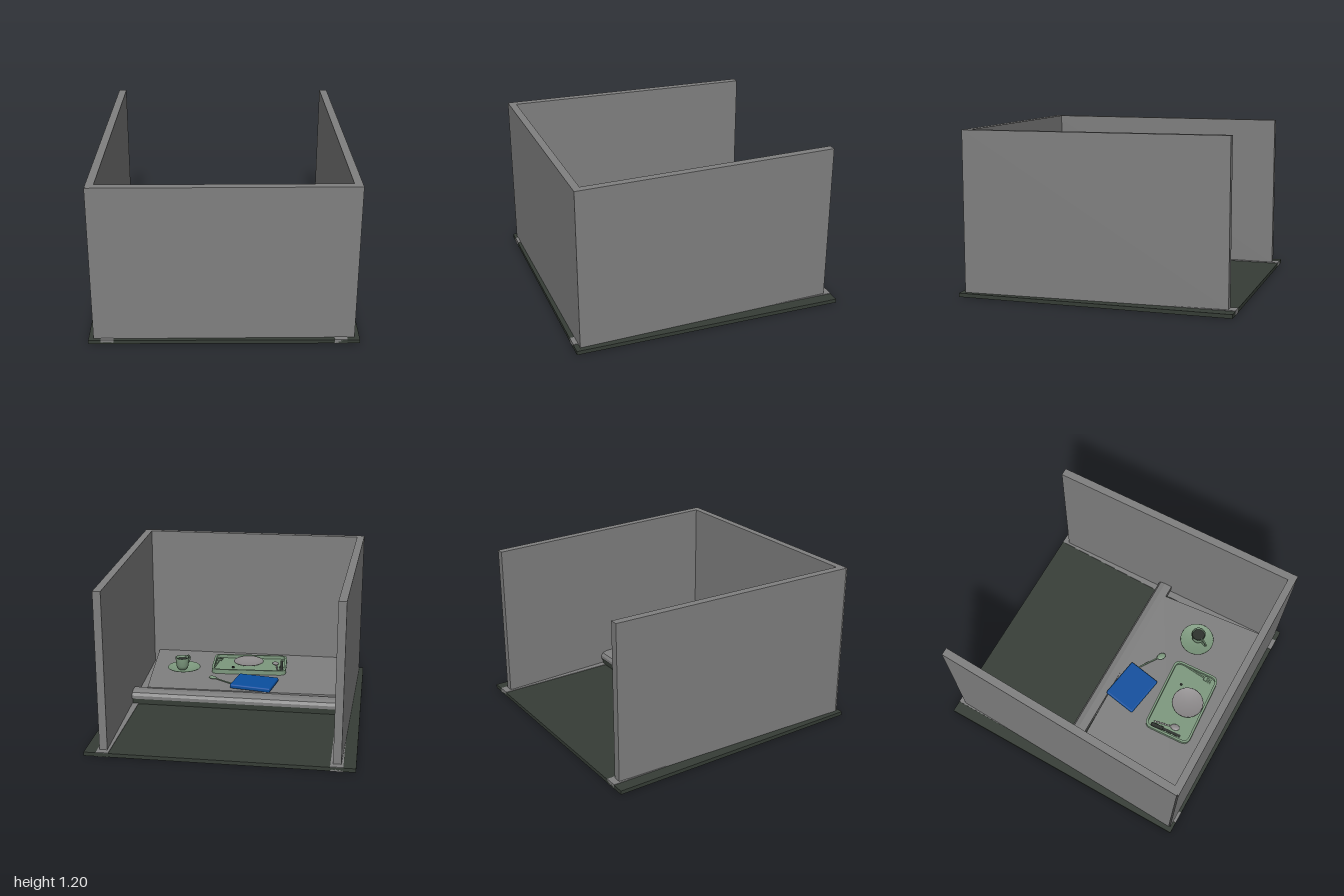
import * as THREE from 'three';
import { RoundedBoxGeometry } from 'three/addons/geometries/RoundedBoxGeometry.js';

const mat = (name, color, side = THREE.FrontSide) => {
  const m = new THREE.MeshStandardMaterial({ color, side });
  m.name = name;
  return m;
};

export function createModel() {
  const model = new THREE.Group();
  const grey = mat('panel grey', 0x808080);
  const floorGreen = mat('dark floor green', 0x363d36);
  const green = mat('pale green glaze', 0x7d997e, THREE.DoubleSide);
  const blue = mat('napkin blue', 0x0b4f9f);
  const cream = mat('plate grey', 0x8e8b8c, THREE.DoubleSide);
  const dark = mat('dark metal', 0x2b302b);

  const add = (name, geo, material, x = 0, y = 0, z = 0, parent = model) => {
    const mesh = new THREE.Mesh(geo, material);
    mesh.name = name;
    mesh.position.set(x, y, z);
    parent.add(mesh);
    return mesh;
  };
  // Upright prism over a floor outline of [x, z] corners
  const prism = (pts, y0, y1) => {
    const shape = new THREE.Shape(pts.map(([x, z]) => new THREE.Vector2(x, -z)));
    return new THREE.ExtrudeGeometry(shape, { depth: y1 - y0, bevelEnabled: false })
      .rotateX(-Math.PI / 2).translate(0, y0, 0);
  };
  const roundedRect = (Path, w, d, r) => {
    const p = new Path(), a = w / 2, b = d / 2;
    p.moveTo(-a + r, -b);
    p.lineTo(a - r, -b); p.quadraticCurveTo(a, -b, a, -b + r);
    p.lineTo(a, b - r); p.quadraticCurveTo(a, b, a - r, b);
    p.lineTo(-a + r, b); p.quadraticCurveTo(-a, b, -a, b - r);
    p.lineTo(-a, -b + r); p.quadraticCurveTo(-a, -b, -a + r, -b);
    return p;
  };
  const lathe = (pts, n = 40) =>
    new THREE.LatheGeometry(pts.map(([r, y]) => new THREE.Vector2(r, y)), n);

  // Floor with two long rails let into it
  add('floor', new THREE.BoxGeometry(1.915, 0.028, 2), floorGreen, 0, 0.016, 0);
  for (const s of [-1, 1]) {
    add('floorRail', new THREE.BoxGeometry(0.09, 0.034, 2.0), grey, s * 0.825, 0.017, 0);
    // Side walls closing in towards the back
    add('sideWall', prism([[s * 0.922, 0.965], [s * 0.865, 0.965], [s * 0.798, -0.95], [s * 0.855, -0.95]],
      0.03, 1.2), grey);
  }
  add('frontWall', prism([[-0.922, 0.977], [0.922, 0.965], [0.865, 0.912], [-0.865, 0.922]], 0.03, 1.2), grey);

  // Table top and the rounded bar along its back edge
  const TOP = 0.14;
  add('table', prism([[-0.765, 0.05], [0.725, 0.012], [0.82, 0.912], [-0.8, 0.922]], 0.035, TOP), grey);
  add('barBase', new THREE.BoxGeometry(1.65, 0.05, 0.09), floorGreen, 0, 0.055, -0.03);
  const barShape = new THREE.Shape();
  barShape.moveTo(-0.03, 0.075);
  barShape.lineTo(0.085, 0.075);
  barShape.lineTo(0.085, 0.1);
  barShape.lineTo(0.07, 0.122);
  barShape.lineTo(0.03, 0.132);
  barShape.lineTo(-0.03, 0.132);
  add('backBar', new THREE.ExtrudeGeometry(barShape, { depth: 1.66, bevelEnabled: false })
    .translate(0, 0, -0.83).rotateY(-Math.PI / 2).scale(-1, 1, -1).rotateY(Math.PI)
    .rotateY(Math.PI), grey).rotation.y = 0;

  // Tray: flat bottom and a raised rim
  const tray = new THREE.Group();
  tray.name = 'tray';
  tray.position.set(-0.02, TOP, 0.585);
  tray.rotation.y = 0.06;
  model.add(tray);
  const flat = (shape, depth) => new THREE.ExtrudeGeometry(shape, { depth, bevelEnabled: false, curveSegments: 6 })
    .rotateX(-Math.PI / 2);
  add('trayBottom', flat(roundedRect(THREE.Shape, 0.59, 0.36, 0.05), 0.012), green, 0, 0.001, 0, tray);
  const rim = roundedRect(THREE.Shape, 0.61, 0.38, 0.06);
  rim.holes.push(roundedRect(THREE.Path, 0.575, 0.345, 0.045));
  add('trayRim', flat(rim, 0.036), green, 0, 0.004, 0, tray);

  // Plate on the tray
  add('plate', lathe([[0, 0], [0.07, 0], [0.125, 0.02], [0.12, 0.023], [0.068, 0.006], [0, 0.006]]),
    cream, -0.005, TOP + 0.015, 0.63);

  // Cutlery: a thin handle along +z with a head at its end
  const cutlery = (name, material, x, y, z, x2, z2, head) => {
    const g = new THREE.Group(), len = Math.hypot(x2 - x, z2 - z);
    g.name = name;
    g.position.set(x, y, z);
    g.rotation.y = Math.atan2(x2 - x, z2 - z);
    model.add(g);
    if (head !== 'blade') {
      add('handle', new RoundedBoxGeometry(0.012, 0.008, len, 2, 0.003), material, 0, 0, len / 2, g);
    }
    if (head === 'bowl') {
      add('bowl', new THREE.SphereGeometry(1, 20, 10).scale(0.026, 0.009, 0.037), material, 0, 0, len + 0.03, g);
    } else if (head === 'fork') {
      add('neck', new RoundedBoxGeometry(0.04, 0.008, 0.025, 2, 0.003), material, 0, 0, len + 0.01, g);
      for (let i = 0; i < 4; i++) {
        add('prong', new THREE.BoxGeometry(0.005, 0.006, 0.04), material, -0.017 + i * 0.0113, 0, len + 0.04, g);
      }
    } else {
      add('handle', new RoundedBoxGeometry(0.03, 0.012, len * 0.4, 2, 0.004), dark, 0, 0, len * 0.2, g);
      add('blade', new THREE.BoxGeometry(0.022, 0.005, len * 0.6), dark, 0, 0, len * 0.7, g);
    }
  };
  const trayY = TOP + 0.022;
  cutlery('knife', dark, -0.295, trayY, 0.46, -0.277, 0.71, 'blade');
  cutlery('traySpoon', cream, -0.267, trayY, 0.47, -0.237, 0.61, 'bowl');
  cutlery('fork', green, 0.265, trayY, 0.46, 0.248, 0.65, 'fork');
  cutlery('tableSpoon', green, 0.05, TOP + 0.016, 0.13, 0.215, 0.24, 'bowl');
  add('trayPeg', new THREE.CylinderGeometry(0.01, 0.01, 0.012, 12), dark, 0.11, TOP + 0.018, 0.51);

  // Folded napkin
  add('napkin', new RoundedBoxGeometry(0.33, 0.035, 0.265, 3, 0.012), blue, -0.108, TOP + 0.018, 0.178)
    .rotation.y = -0.17;

  // Saucer, cup, drink and handle
  const cupSet = new THREE.Group();
  cupSet.name = 'cupAndSaucer';
  cupSet.position.set(0.51, TOP, 0.44);
  model.add(cupSet);
  add('saucer', lathe([[0, 0.002], [0.06, 0.002], [0.135, 0.028], [0.131, 0.031], [0.058, 0.009], [0, 0.009]]),
    green, 0, 0, 0, cupSet);
  add('cup', lathe([[0, 0.01], [0.036, 0.01], [0.05, 0.04], [0.057, 0.11], [0.051, 0.11], [0.045, 0.045], [0, 0.03]]),
    green, 0.015, 0, 0, cupSet);
  add('drink', new THREE.CylinderGeometry(0.049, 0.047, 0.006, 32), dark, 0.015, 0.088, 0, cupSet);
  const loop = new THREE.CatmullRomCurve3([[0.045, 0.095], [0.085, 0.1], [0.105, 0.075], [0.085, 0.045], [0.045, 0.04]]
    .map(([r, y]) => new THREE.Vector3(0, y, r)));
  add('cupHandle', new THREE.TubeGeometry(loop, 20, 0.007, 8), green, 0.015, 0, 0, cupSet).rotation.y = -0.45;

  return model;
}
